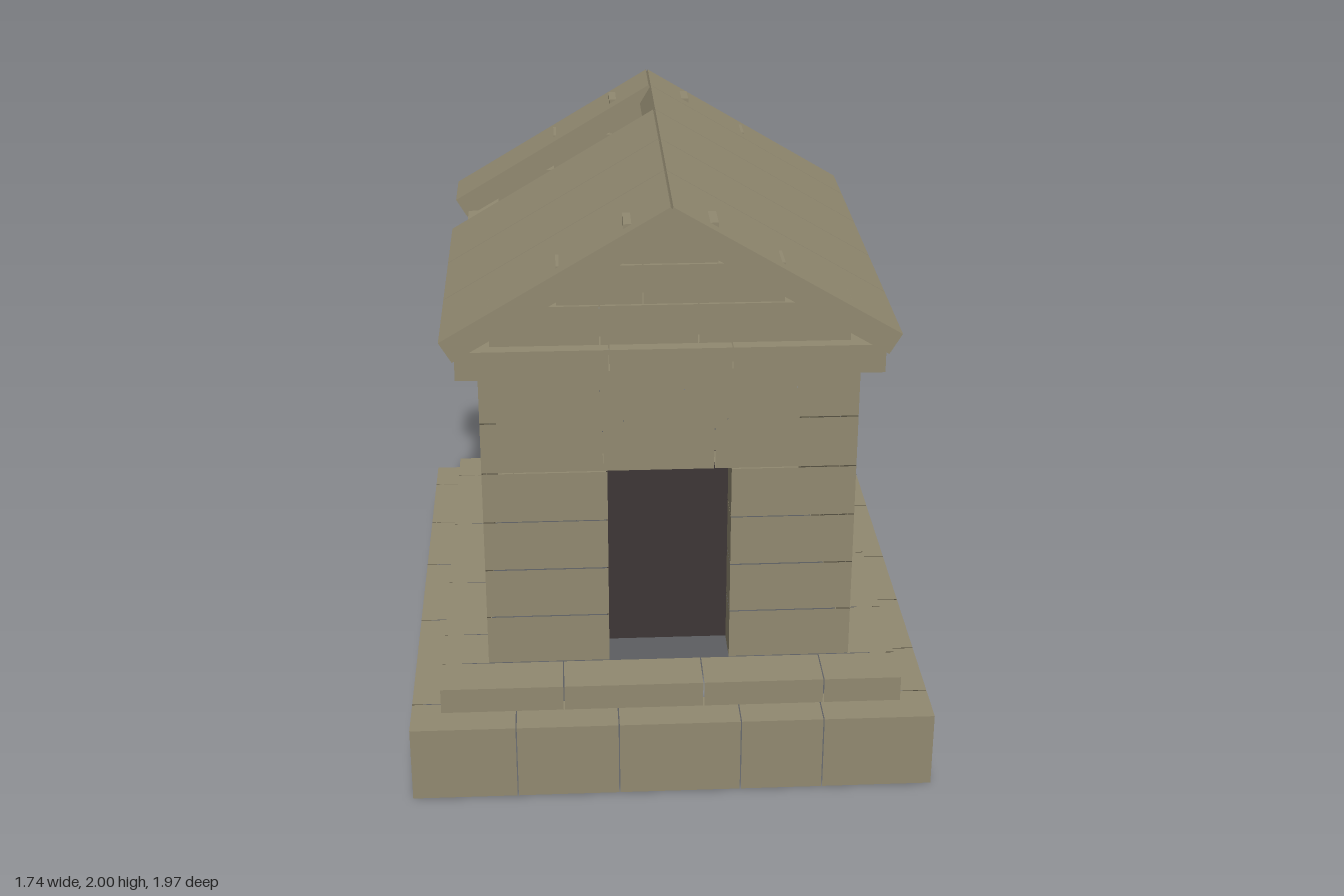
import * as THREE from 'three';

const GAP = 0.004;
const FACES = ['+x', '-x', '+y', '-y', '+z', '-z'];

export function createModel() {
  const model = new THREE.Group();
  model.name = 'stoneShrine';
  const stone = new THREE.MeshStandardMaterial({ color: 0x918970, side: THREE.DoubleSide });
  stone.name = 'stone';
  const dark = new THREE.MeshStandardMaterial({ color: 0x3d3636 });
  dark.name = 'darkDoor';

  const part = (name) => {
    const g = new THREE.Group();
    g.name = name;
    model.add(g);
    return g;
  };

  // One stone given by its corner limits, keeping only the listed faces
  const block = (g, name, x0, x1, y0, y1, z0, z1, faces = FACES, material = stone) => {
    const geo = new THREE.BoxGeometry(x1 - x0, y1 - y0, z1 - z0);
    const index = Array.from(geo.index.array);
    geo.setIndex(index.filter((_, i) => faces.includes(FACES[Math.floor(i / 6)])));
    geo.clearGroups();
    const mesh = new THREE.Mesh(geo, material);
    mesh.position.set((x0 + x1) / 2, (y0 + y1) / 2, (z0 + z1) / 2);
    mesh.name = name;
    g.add(mesh);
  };

  // Row of stones along x or z, split at the joints; c0..c1 is its depth
  const row = (g, name, axis, a, b, joints, y0, y1, c0, c1, faces, closeEnds) => {
    const cuts = [a, ...joints, b];
    const last = cuts.length - 2;
    for (let i = 0; i <= last; i++) {
      const s = cuts[i] + (i ? GAP / 2 : 0);
      const e = cuts[i + 1] - (i < last ? GAP / 2 : 0);
      const f = [...faces];
      if (closeEnds && i === 0) f.push('-' + axis);
      if (closeEnds && i === last) f.push('+' + axis);
      if (axis === 'x') block(g, name, s, e, y0, y1, c0, c1, f);
      else block(g, name, c0, c1, y0, y1, s, e, f);
    }
  };

  // Ring of hollow stones; front and back run full width, sides fit between
  // them, or reach the corners when mitred (which also closes the inner faces)
  const ring = (g, name, X, Z, depth, y0, y1, joints, { faces = [], frontFaces = [], mitred = false } = {}) => {
    const reach = mitred ? Z : Z - depth - GAP;
    const shell = (out, inner) => [out, ...faces, ...(mitred ? [inner] : [])];
    if (joints.front)
      row(g, name, 'x', -X, X, joints.front, y0, y1, Z - depth, Z, [...shell('+z', '-z'), ...frontFaces], !mitred);
    row(g, name, 'x', -X, X, joints.back, y0, y1, -Z, -Z + depth, shell('-z', '+z'), !mitred);
    row(g, name, 'z', -reach, reach, joints.left, y0, y1, X - depth, X, shell('+x', '-x'), false);
    row(g, name, 'z', -reach, reach, joints.right, y0, y1, -X, -X + depth, shell('-x', '+x'), false);
  };

  // Plinth and step, open in the middle and underneath
  ring(part('plinth'), 'plinthStone', 0.87, 0.985, 0.157, 0, 0.265, {
    front: [-0.52, -0.18, 0.225, 0.5], back: [-0.65, -0.295, 0.11, 0.545],
    left: [-0.55, -0.12, 0.21, 0.55], right: [-0.49, -0.145, 0.27],
  }, { faces: ['+y'] });
  ring(part('step'), 'stepStone', 0.77, 0.882, 0.16, 0.266, 0.355, {
    front: [-0.36, 0.107, 0.51], back: [-0.55, -0.13, 0.33],
    left: [-0.34, 0.005, 0.41], right: [-0.3, 0.16, 0.53],
  }, { faces: ['+y'] });

  // Walls: six courses, the lower four broken by the doorway
  const walls = part('walls');
  const X = 0.612, Z = 0.725, T = 0.13, H = 0.1785;
  const courses = [
    { left: [-0.063, 0.29], right: [-0.2, 0.15], back: [-0.25, 0.2] },
    { left: [-0.12, 0.19], right: [-0.05, 0.3], back: [-0.1, 0.32] },
    { left: [-0.045, 0.285], right: [-0.25, 0.1], back: [-0.3, 0.08] },
    { left: [-0.36, -0.035, 0.338], right: [-0.1, 0.25], back: [-0.15, 0.25] },
    { front: [-0.217, 0.147], left: [-0.07, 0.325], right: [-0.3, 0.05], back: [-0.28, 0.12] },
    { front: [-0.225, 0.047, 0.41], left: [-0.03, 0.267], right: [-0.12, 0.22], back: [-0.08, 0.3] },
  ];
  courses.forEach((c, i) => {
    const y0 = 0.36 + i * H, y1 = y0 + H - GAP;
    ring(walls, 'wallStone', X, Z, T, y0, y1, c, {
      faces: i === 5 ? ['+y'] : [],
      frontFaces: i === 4 ? ['-y'] : [],
    });
    if (!c.front) {
      block(walls, 'doorJamb', -X, -0.203, y0, y1, Z - T, Z, ['+z', '+x', '-x']);
      block(walls, 'doorJamb', 0.203, X, y0, y1, Z - T, Z, ['+z', '+x', '-x']);
    }
  });

  // Dark door plate set back in the doorway
  block(part('door'), 'doorPanel', -0.205, 0.205, 0.36, 1.071, 0.581, 0.589, FACES, dark);

  // Cornice
  ring(part('cornice'), 'corniceStone', 0.68, 0.792, 0.113, 1.432, 1.527, {
    front: [-0.195, 0.195], back: [-0.22, 0.17], left: [-0.19, 0.225], right: [-0.295, 0.2],
  }, { faces: ['+y'], mitred: true });

  // Stepped gables whose corners just break through the roof
  const gableRows = [
    [0.57, 1.532, 1.663, [-0.223, 0.088]],
    [0.357, 1.667, 1.796, [-0.087]],
    [0.147, 1.8, 1.93, []],
  ];
  for (const side of [1, -1]) {
    const g = part(side > 0 ? 'frontGable' : 'backGable');
    const z0 = side > 0 ? 0.65 : -0.76;
    for (const [w, y0, y1, joints] of gableRows)
      row(g, 'gableStone', 'x', -w, w, joints.map((j) => j * side).sort((a, b) => a - b),
        y0, y1, z0, z0 + 0.11, ['+z', '-z', '+y'], true);
  }

  // Roof slabs meeting at the ridge; one is missing near the back
  const roof = part('roof');
  const edges = [-0.815, -0.587, -0.265, 0.093, 0.443, 0.815];
  const pitch = Math.atan2(0.43, 0.722), L = 0.84, thick = 0.078;
  for (const side of [1, -1]) {
    for (let i = 0; i < 5; i++) {
      if (side < 0 && i === 1) continue;
      const geo = new THREE.BoxGeometry(L, thick, edges[i + 1] - edges[i] - GAP);
      geo.translate(L / 2, -thick / 2, 0).rotateZ(-pitch);
      if (side < 0) geo.rotateY(Math.PI);
      const slab = new THREE.Mesh(geo, stone);
      slab.position.set(side * 0.004, 2, (edges[i] + edges[i + 1]) / 2);
      slab.name = 'roofSlab';
      roof.add(slab);
    }
  }
  return model;
}
